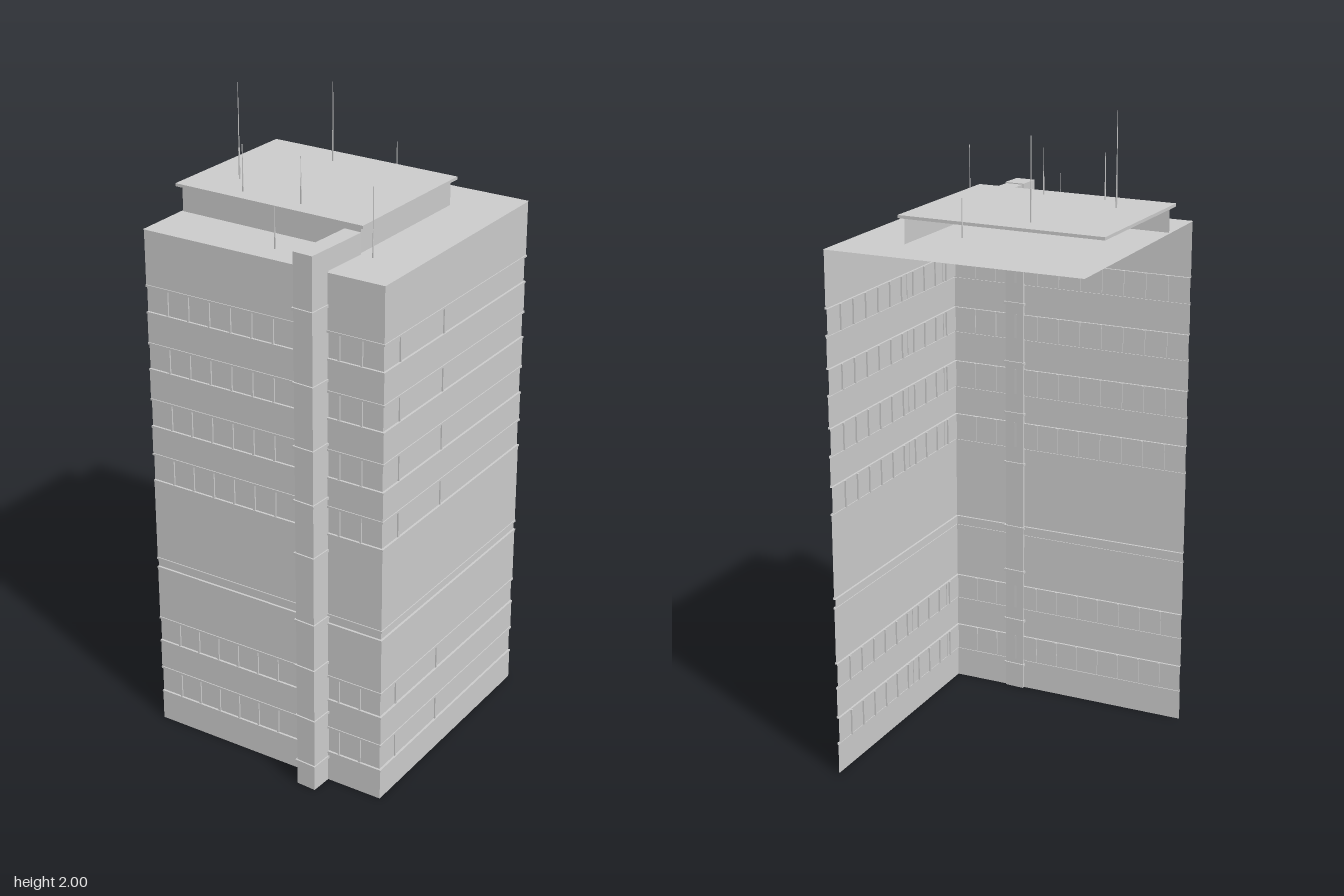
import * as THREE from 'three';

const grey = new THREE.MeshStandardMaterial({ color: 0xcccccc, flatShading: true, side: THREE.DoubleSide });

function add(parent, name, geometry, x = 0, y = 0, z = 0) {
  const mesh = new THREE.Mesh(geometry, grey);
  mesh.name = name;
  mesh.position.set(x, y, z);
  parent.add(mesh);
  return mesh;
}

function box(parent, name, x0, x1, y0, y1, z0, z1) {
  return add(parent, name, new THREE.BoxGeometry(x1 - x0, y1 - y0, z1 - z0),
    (x0 + x1) / 2, (y0 + y1) / 2, (z0 + z1) / 2);
}

// Sweeps a vertical profile of [outward offset, y] along the right side and front of a plan.
function cornerWall(profile, x0, x1, z0, z1) {
  const ring = ([o, y]) => [[x0 - o, y, z0], [x0 - o, y, z1 + o], [x1, y, z1 + o]];
  const p = [];
  for (let i = 0; i + 1 < profile.length; i++) {
    const a = ring(profile[i]), b = ring(profile[i + 1]);
    for (let k = 0; k < 2; k++) p.push(...a[k], ...a[k + 1], ...b[k + 1], ...a[k], ...b[k + 1], ...b[k]);
  }
  const g = new THREE.BufferGeometry();
  g.setAttribute('position', new THREE.Float32BufferAttribute(p, 3));
  g.computeVertexNormals();
  return g;
}

export function createModel() {
  const model = new THREE.Group();
  model.name = 'officeTower';

  // Main block: two facades and a roof, turned slightly in plan
  const block = new THREE.Group();
  block.name = 'mainBlock';
  block.position.set(0.0165, 0, -0.0025);
  block.rotation.y = 0.0535;
  model.add(block);
  const h = 0.391, roofY = 1.6;

  // Spandrels with lips at the edges of each recessed window band
  const windows = [[0.1, 0.18], [0.28, 0.355], [0.825, 0.905], [1, 1.08], [1.18, 1.255], [1.355, 1.43]];
  const bands = [...windows, [0.535, 0.56]].sort((a, b) => a[0] - b[0]);
  const lip = 0.003, recess = -0.004, t = 0.006;
  const profile = [[0, 0]];
  for (const [a, b] of bands) {
    profile.push([0, a - t], [lip, a - t], [lip, a], [recess, a], [recess, b], [lip, b], [lip, b + t], [0, b + t]);
  }
  profile.push([0, roofY]);
  add(block, 'facades', cornerWall(profile, -h, h, -h, h));
  const roof = add(block, 'roof', new THREE.PlaneGeometry(2 * h + 0.004, 2 * h + 0.004), 0, roofY, 0);
  roof.rotation.x = -Math.PI / 2;

  // Window mullions
  const n = 11;
  for (const [a, b] of windows) {
    for (let i = 1; i < n; i++) {
      const s = -h + 2 * h * i / n;
      box(block, 'sideMullion', -h - 0.001, -h + 0.008, a, b, s - 0.003, s + 0.003);
      box(block, 'frontMullion', s - 0.003, s + 0.003, a, b, h - 0.01, h - 0.005);
    }
    for (const f of [0.11, 0.405]) {
      const s = -h + 2 * h * f;
      box(block, 'frontPier', s - 0.003, s + 0.003, a, b, h - 0.006, h);
    }
  }

  // Penthouse: two walls under an overhanging slab
  const penthouse = new THREE.Group();
  penthouse.name = 'penthouse';
  penthouse.position.set(0.025, 0, -0.087);
  penthouse.rotation.y = 0.036;
  model.add(penthouse);
  add(penthouse, 'penthouseWalls', cornerWall([[0, 1.592], [0, 1.676]], -0.232, 0.232, -0.3, 0.3));
  box(penthouse, 'penthouseSlab', -0.245, 0.245, 1.675, 1.684, -0.314, 0.314);

  // Service shaft on the right side with collars and a duct to the penthouse
  box(model, 'serviceShaft', -0.43, -0.357, 0, 1.665, 0.169, 0.231);
  for (const y of [0.08, 0.235, 0.405, 0.555, 0.77, 0.935, 1.1, 1.29, 1.505]) {
    box(model, 'shaftCollar', -0.435, -0.352, y - 0.004, y + 0.004, 0.165, 0.235);
  }
  box(model, 'roofDuct', -0.358, -0.203, 1.6, 1.662, 0.172, 0.227);

  // Roof masts: x, z, bottom, top
  const masts = [
    [-0.305, 0.015, 1.6, 1.72], [-0.175, -0.195, 1.68, 1.82], [-0.163, -0.003, 1.68, 1.82],
    [-0.095, -0.27, 1.68, 1.92], [0.188, -0.15, 1.68, 1.92], [0.275, 0.015, 1.64, 1.75],
    [-0.205, 0.267, 1.55, 1.8],
  ];
  for (const [x, z, y0, y1] of masts) {
    const foot = (y1 - y0) * 0.4;
    add(model, 'mastFoot', new THREE.CylinderGeometry(0.0025, 0.0025, foot, 6), x, y0 + foot / 2, z);
    add(model, 'mast', new THREE.CylinderGeometry(0.0012, 0.0018, y1 - y0, 6), x, (y0 + y1) / 2, z);
  }
  add(model, 'mastTip', new THREE.CylinderGeometry(0.0001, 0.0008, 0.08, 5), -0.095, 1.96, -0.27);

  return model;
}
